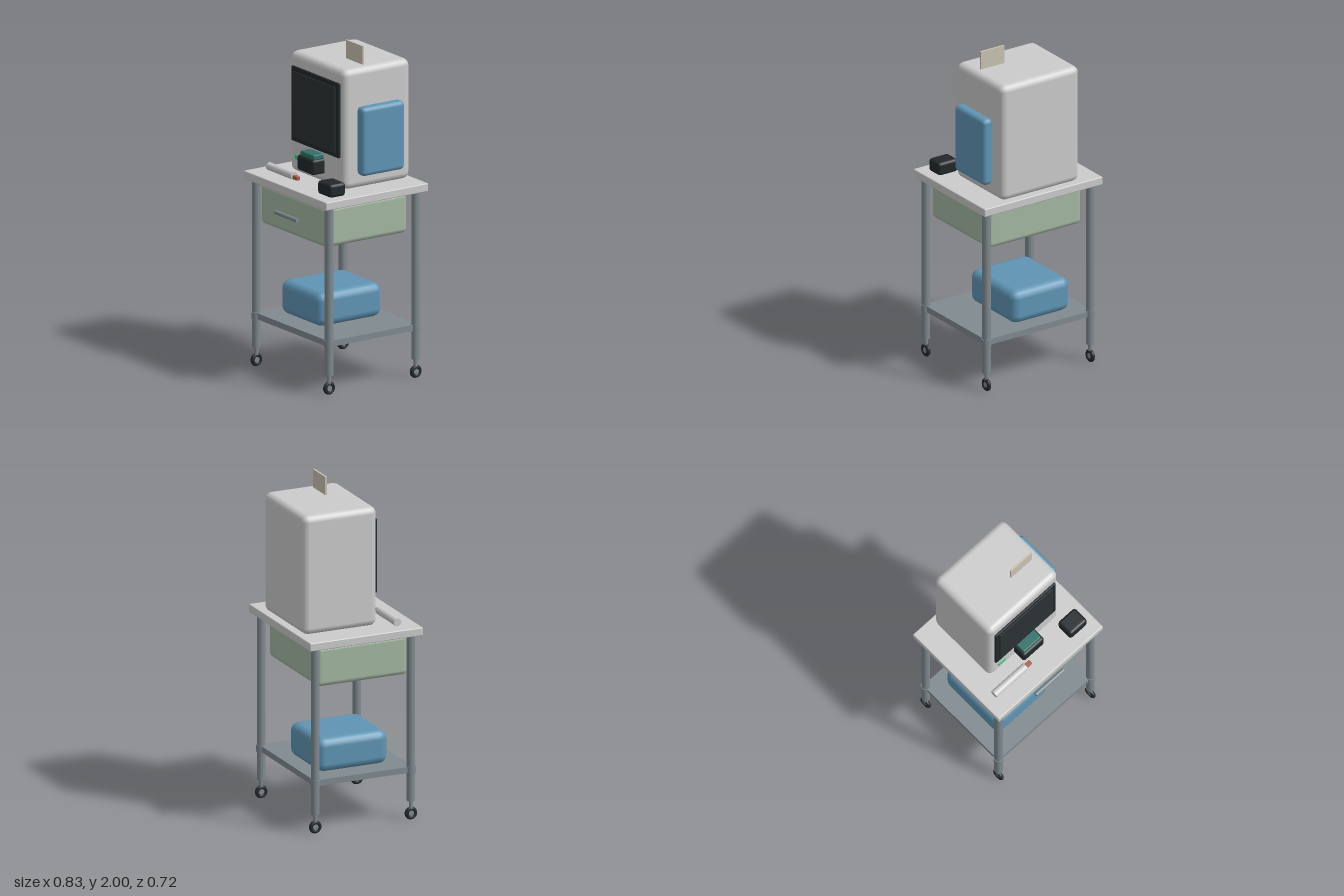
import * as THREE from 'three';
import { RoundedBoxGeometry } from 'three/addons/geometries/RoundedBoxGeometry.js';

const mat = (color) => new THREE.MeshStandardMaterial({ color });
const grey = mat(0xcccccc);
const steel = mat(0x7f8a8f);
const black = mat(0x22282b);
const glass = mat(0x2b3133);
const blue = mat(0x5f95b5);
const green = mat(0xa4b8a2);
const teal = mat(0x2f7068);
const beige = mat(0xc9c3b2);
const red = mat(0xa45f4d);
const led = mat(0x3fc47f);

export function createModel() {
  const root = new THREE.Group();

  function add(name, geometry, material, x, y, z, parent = root) {
    const mesh = new THREE.Mesh(geometry, material);
    mesh.name = name;
    mesh.position.set(x, y, z);
    parent.add(mesh);
    return mesh;
  }

  // Box given by its extents on each axis, rounded when a radius is set
  function box(name, material, [x0, x1], [y0, y1], [z0, z1], radius = 0) {
    const w = x1 - x0, h = y1 - y0, d = z1 - z0;
    const geometry = radius
      ? new RoundedBoxGeometry(w, h, d, 2, radius)
      : new THREE.BoxGeometry(w, h, d);
    return add(name, geometry, material, (x0 + x1) / 2, (y0 + y1) / 2, (z0 + z1) / 2);
  }

  // Upright cylinder between two heights
  function post(name, material, radius, x, y0, y1, z, parent) {
    return add(name, new THREE.CylinderGeometry(radius, radius, y1 - y0, 20), material, x, (y0 + y1) / 2, z, parent);
  }

  // Cylinder lying along x
  function rod(name, material, radius, length, x, y, z, parent) {
    const geometry = new THREE.CylinderGeometry(radius, radius, length, 20).rotateZ(Math.PI / 2);
    return add(name, geometry, material, x, y, z, parent);
  }

  // Cart
  box('tableTop', grey, [-0.415, 0.415], [1.12, 1.17], [-0.36, 0.36], 0.006);
  box('shelf', steel, [-0.375, 0.375], [0.287, 0.323], [-0.315, 0.315]);
  for (const x of [-0.365, 0.365]) {
    for (const z of [-0.305, 0.305]) {
      const leg = new THREE.Group();
      leg.name = 'leg';
      leg.position.set(x, 0, z);
      root.add(leg);
      post('legTube', steel, 0.025, 0, 0.115, 1.125, 0, leg);
      post('shelfCollar', steel, 0.029, 0, 0.284, 0.326, 0, leg);
      post('casterStem', steel, 0.012, 0, 0.062, 0.116, 0, leg);
      add('casterTyre', new THREE.TorusGeometry(0.0265, 0.0125, 10, 24).rotateY(Math.PI / 2), black, 0, 0.039, 0, leg);
      rod('casterHub', steel, 0.017, 0.016, 0, 0.039, 0, leg);
    }
  }

  // Drawer
  box('drawer', green, [-0.33, 0.33], [0.866, 1.11], [-0.275, 0.305], 0.03);
  rod('drawerHandle', steel, 0.0125, 0.22, 0, 0.99, 0.348);

  // Console with its display
  box('consoleBody', grey, [-0.276, 0.276], [1.17, 1.89], [-0.335, 0.137], 0.04);
  box('screenBezel', black, [-0.238, 0.238], [1.36, 1.807], [0.125, 0.15], 0.004);
  box('screen', glass, [-0.208, 0.208], [1.387, 1.78], [0.14, 0.157]);
  box('statusLight', led, [-0.21, -0.155], [1.251, 1.28], [0.125, 0.144], 0.004);
  box('sidePanel', blue, [0.275, 0.345], [1.255, 1.667], [-0.248, 0.053], 0.026);
  box('card', beige, [0.055, 0.22], [1.885, 2.0], [-0.043, -0.031]);

  // Socket on the console front
  box('socketHousing', black, [-0.082, 0.082], [1.23, 1.322], [0.12, 0.22], 0.016);
  box('socketInsert', teal, [-0.068, 0.068], [1.315, 1.346], [0.125, 0.206], 0.006);

  // Loose items
  box('smallCase', black, [0.222, 0.358], [1.17, 1.25], [0.18, 0.29], 0.018);
  rod('wand', grey, 0.0235, 0.25, -0.21, 1.194, 0.235);
  box('wandTip', red, [-0.086, -0.043], [1.176, 1.2], [0.221, 0.247], 0.004);
  box('storageBag', blue, [-0.277, 0.132], [0.323, 0.527], [-0.243, 0.208], 0.05);

  return root;
}
